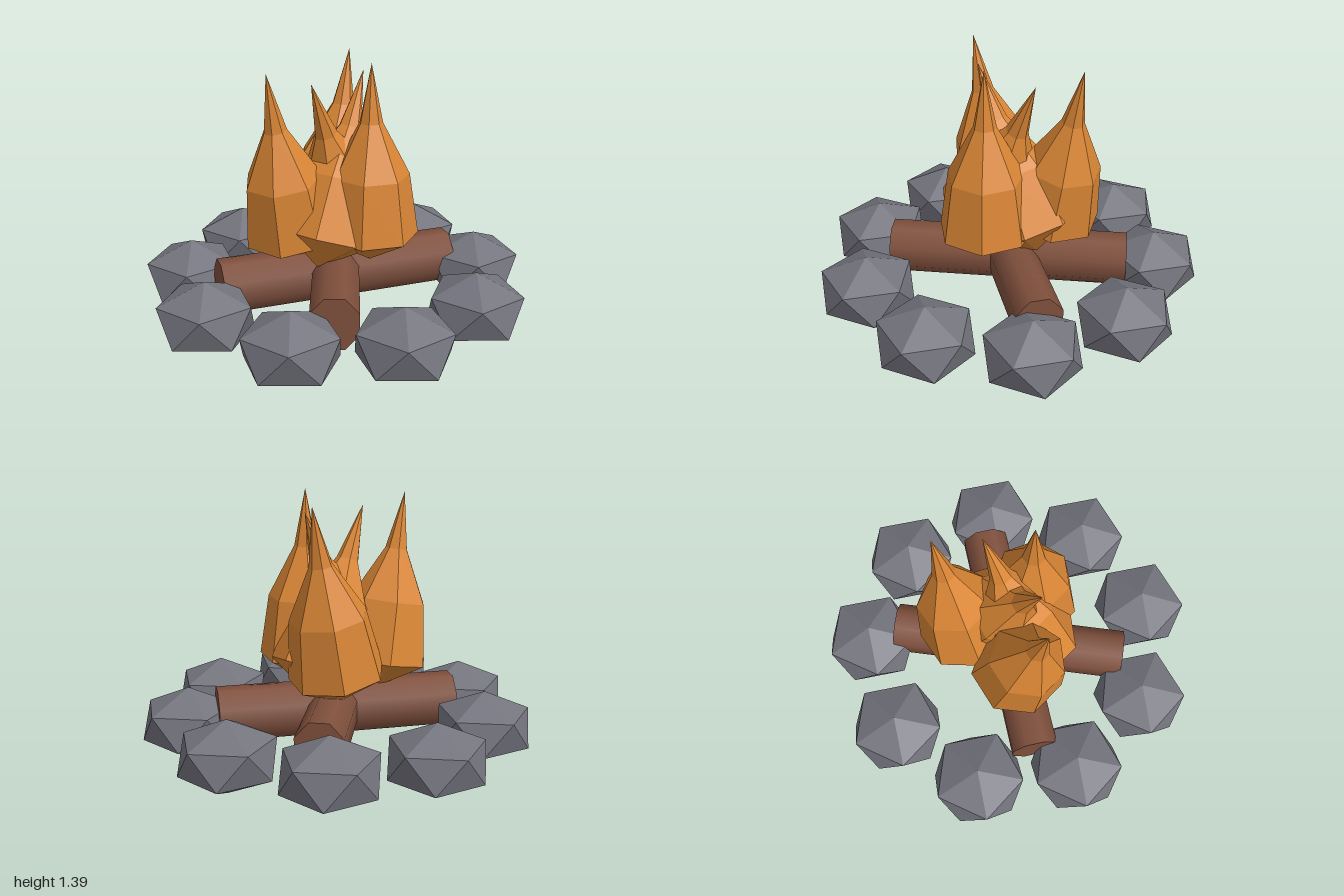
import * as THREE from 'three';

const stoneGrey = new THREE.MeshStandardMaterial({ color: 0x74747e, flatShading: true });
stoneGrey.name = 'stoneGrey';
const barkBrown = new THREE.MeshStandardMaterial({ color: 0x80503d });
barkBrown.name = 'barkBrown';
const flameOrange = new THREE.MeshStandardMaterial({ color: 0xda8635, flatShading: true });
flameOrange.name = 'flameOrange';

function add(group, name, geometry, material, x, y, z) {
  const mesh = new THREE.Mesh(geometry, material);
  mesh.name = name;
  mesh.position.set(x, y, z);
  group.add(mesh);
  return mesh;
}

export function createModel() {
  const campfire = new THREE.Group();
  campfire.name = 'campfire';

  // Ring of nine squashed stones, each standing on a point
  const stone = new THREE.IcosahedronGeometry(1, 0);
  stone.rotateZ(-Math.atan(2 / (1 + Math.sqrt(5))));
  stone.scale(0.272, 0.19, 0.272);
  stone.computeVertexNormals();
  for (let i = 0; i < 9; i++) {
    const a = (i / 9) * Math.PI * 2;
    add(campfire, 'stone', stone, stoneGrey, 0.78 * Math.cos(a) - 0.022, 0.19, 0.78 * Math.sin(a));
  }

  // Two crossed logs
  const log = new THREE.CylinderGeometry(0.146, 0.146, 1.27, 8);
  log.rotateY(Math.PI / 8);
  log.rotateZ(Math.PI / 2);
  log.scale(1, 1, 0.9);
  for (const side of [-1, 1]) {
    add(campfire, 'log', log, barkBrown, -0.02, 0.245, 0).rotation.y = side * 0.61;
  }

  // Seven-sided flames, all one shape, leaning sideways by different amounts
  const profile = [[0, 0], [0.25, 0.15], [0.2, 0.47], [0.06, 0.74], [0, 1.04]]
    .map(([r, y]) => new THREE.Vector2(r, y));
  const flame = new THREE.LatheGeometry(profile, 7, THREE.MathUtils.degToRad(-14));
  const flames = [
    // name, base x, y, z, lean in degrees towards +x
    ['frontFlame', 0, 0.35, 0.2, 0],
    ['leftFlame', 0.12, 0.345, -0.16, 11.5],
    ['rightFlame', -0.185, 0.345, -0.145, -11.5],
    ['innerLeftFlame', 0.18, 0.343, 0, -23],
    ['innerRightFlame', -0.226, 0.343, 0.03, 23],
  ];
  for (const [name, x, y, z, lean] of flames) {
    add(campfire, name, flame, flameOrange, x, y, z).rotation.z = -THREE.MathUtils.degToRad(lean);
  }

  return campfire;
}
